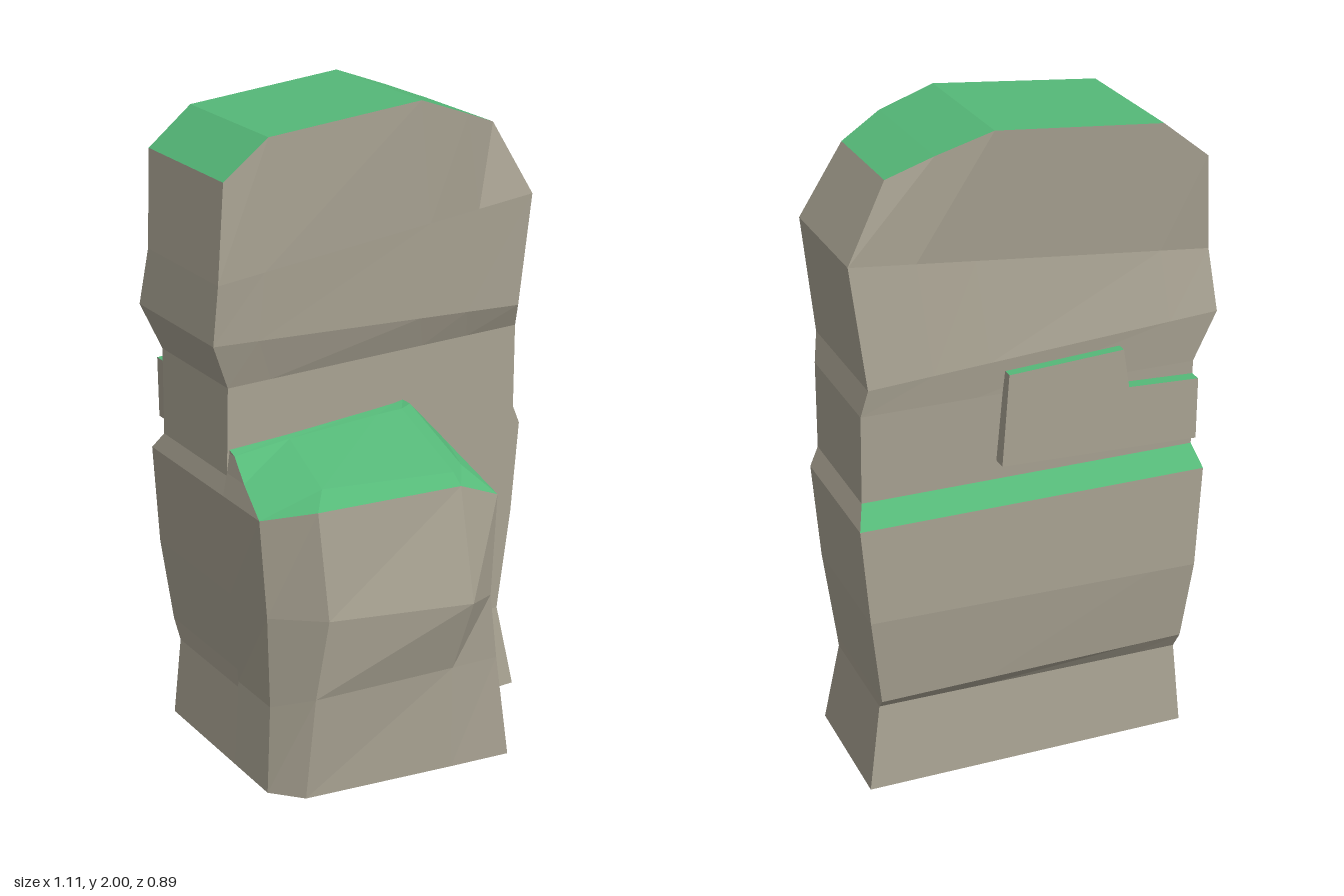
import * as THREE from 'three';

const rock = new THREE.MeshStandardMaterial({ color: 0xa8a292, flatShading: true, side: THREE.DoubleSide });
const moss = new THREE.MeshStandardMaterial({ color: 0x55b878, flatShading: true, side: THREE.DoubleSide });

// Triangles between stacked rings of points; skip(row, column) leaves gaps
function loft(rings, closed, skip = () => false) {
  const tris = [];
  for (let j = 0; j < rings.length - 1; j++) {
    const n = rings[j].length;
    for (let i = 0; i < (closed ? n : n - 1); i++) {
      if (skip(j, i)) continue;
      const k = (i + 1) % n;
      const a = rings[j][i], b = rings[j][k], c = rings[j + 1][k], d = rings[j + 1][i];
      tris.push([a, b, c], [a, c, d]);
    }
  }
  return tris;
}

// Upward-facing triangles become moss, the rest bare rock
function addPart(group, name, tris) {
  const sets = { Rock: [], Moss: [] };
  const normal = new THREE.Vector3();
  for (const t of tris) {
    const tri = new THREE.Triangle(...t);
    if (tri.getArea() < 1e-6) continue;
    tri.getNormal(normal);
    sets[normal.y > 0.48 ? 'Moss' : 'Rock'].push(...t);
  }
  for (const [kind, points] of Object.entries(sets)) {
    if (!points.length) continue;
    const geometry = new THREE.BufferGeometry().setFromPoints(points);
    geometry.computeVertexNormals();
    const mesh = new THREE.Mesh(geometry, kind === 'Moss' ? moss : rock);
    mesh.name = name + kind;
    group.add(mesh);
  }
}

const V = (x, y, z) => new THREE.Vector3(x, y, z);
const lerp = THREE.MathUtils.lerp;

// Tall rear slab: rings of front and back points, open underneath
function tallSlab(group) {
  const columns = [0, 0.14, 0.66, 0.82, 1];
  // left y, right y, left x, right x, front z, back z
  const rows = [
    [0, 0, -0.5, 0.52, 0.04, -0.39],
    [0.26, 0.27, -0.48, 0.48, 0, -0.37],
    [0.32, 0.31, -0.48, 0.485, 0, -0.41],
    [0.58, 0.6, -0.5, 0.525, 0, -0.445],
    [0.9, 0.9, -0.515, 0.55, 0, -0.445],
    [0.96, 0.96, -0.5, 0.525, 0, -0.39],
    [1.23, 1.23, -0.49, 0.525, 0, -0.4],
    [1.38, 1.31, -0.555, 0.505, 0.04, -0.41],
    [1.56, 1.66, -0.54, 0.54, 0.05, -0.37],
  ];
  const rings = rows.map(([yl, yr, xl, xr, zf, zb]) => {
    const side = z => columns.map(t => V(lerp(xl, xr, t), lerp(yl, yr, t), z));
    return [...side(zf), ...side(zb).reverse()];
  });
  // Rounded crown: x, y, front z, back z
  const crown = [
    [-0.51, 1.85, 0.04, -0.4], [-0.37, 1.96, 0.05, -0.4], [0.13, 2, 0.06, -0.4],
    [0.29, 1.94, 0.065, -0.37], [0.425, 1.885, 0, -0.35],
  ];
  const front = crown.map(([x, y, z]) => V(x, y, z));
  const back = crown.map(([x, y, , z]) => V(x, y, z));
  rings.push([...front, ...[...back].reverse()]);
  // The front block covers the gap in the lower front
  const tris = loft(rings, true, (j, i) => j < 5 && i < 2);
  addPart(group, 'tallSlab', [...tris, ...loft([front, back], false)]);
}

// Lower block: rings run from left rear round the front to right rear
function frontBlock(group) {
  const rings = [
    [[-0.5, 0, 0.0], [-0.5, 0, 0.2], [-0.42, 0, 0.29], [0.05, 0, 0.37], [0.24, 0, 0.4], [0.315, 0, 0.22], [0.2, 0, 0.04]],
    [[-0.48, 0.28, 0], [-0.48, 0.28, 0.19], [-0.4, 0.34, 0.32], [0.05, 0.34, 0.37], [0.2, 0.34, 0.385], [0.255, 0.3, 0.22], [0.2, 0.3, 0]],
    [[-0.5, 0.58, 0], [-0.49, 0.58, 0.2], [-0.37, 0.6, 0.35], [0.07, 0.58, 0.445], [0.17, 0.56, 0.39], [0.215, 0.55, 0.22], [0.2, 0.55, 0]],
    [[-0.515, 0.9, 0], [-0.515, 0.9, 0.21], [-0.38, 0.93, 0.31], [0.07, 0.93, 0.37], [0.165, 0.9, 0.42], [0.19, 0.9, 0.22], [0.2, 0.92, 0]],
    [[-0.5, 0.97, 0], [-0.5, 0.97, 0.1], [-0.33, 0.97, 0.25], [0.07, 0.96, 0.33], [0.12, 0.96, 0.3], [0.16, 0.98, 0.16], [0.17, 0.97, 0]],
    [[-0.49, 1.03, 0], [-0.49, 1.03, 0.03], [-0.3, 1.04, 0.02], [0, 1.055, 0.03], [0.08, 1.06, 0.04], [0.11, 1.07, 0.04], [0.11, 1.07, -0.01]],
    [[-0.49, 1.04, 0], [-0.49, 1.04, 0], [-0.3, 1.045, 0], [0, 1.06, 0], [0.08, 1.065, 0], [0.11, 1.07, 0], [0.11, 1.07, -0.01]],
  ].map(ring => ring.map(p => V(...p)));
  addPart(group, 'frontBlock', loft(rings, false));
}

// Stepped shelf standing out from the rear face
function rearShelf(group) {
  const outline = [[-0.49, 1.0], [0.12, 1.02], [0.1, 1.3], [-0.25, 1.32], [-0.27, 1.2], [-0.49, 1.19]];
  const shape = new THREE.Shape(outline.map(p => new THREE.Vector2(...p)));
  const geometry = new THREE.ExtrudeGeometry(shape, { depth: 0.05, bevelEnabled: false })
    .translate(0, 0, -0.437).toNonIndexed?.call(new THREE.ExtrudeGeometry(shape, { depth: 0.05, bevelEnabled: false }).translate(0, 0, -0.437));
  const pos = geometry.attributes.position;
  const tris = [];
  for (let i = 0; i < pos.count; i += 3) {
    tris.push([0, 1, 2].map(k => new THREE.Vector3().fromBufferAttribute(pos, i + k)));
  }
  addPart(group, 'rearShelf', tris);
}

export function createModel() {
  const group = new THREE.Group();
  group.name = 'mossyRock';
  tallSlab(group);
  frontBlock(group);
  rearShelf(group);
  return group;
}
